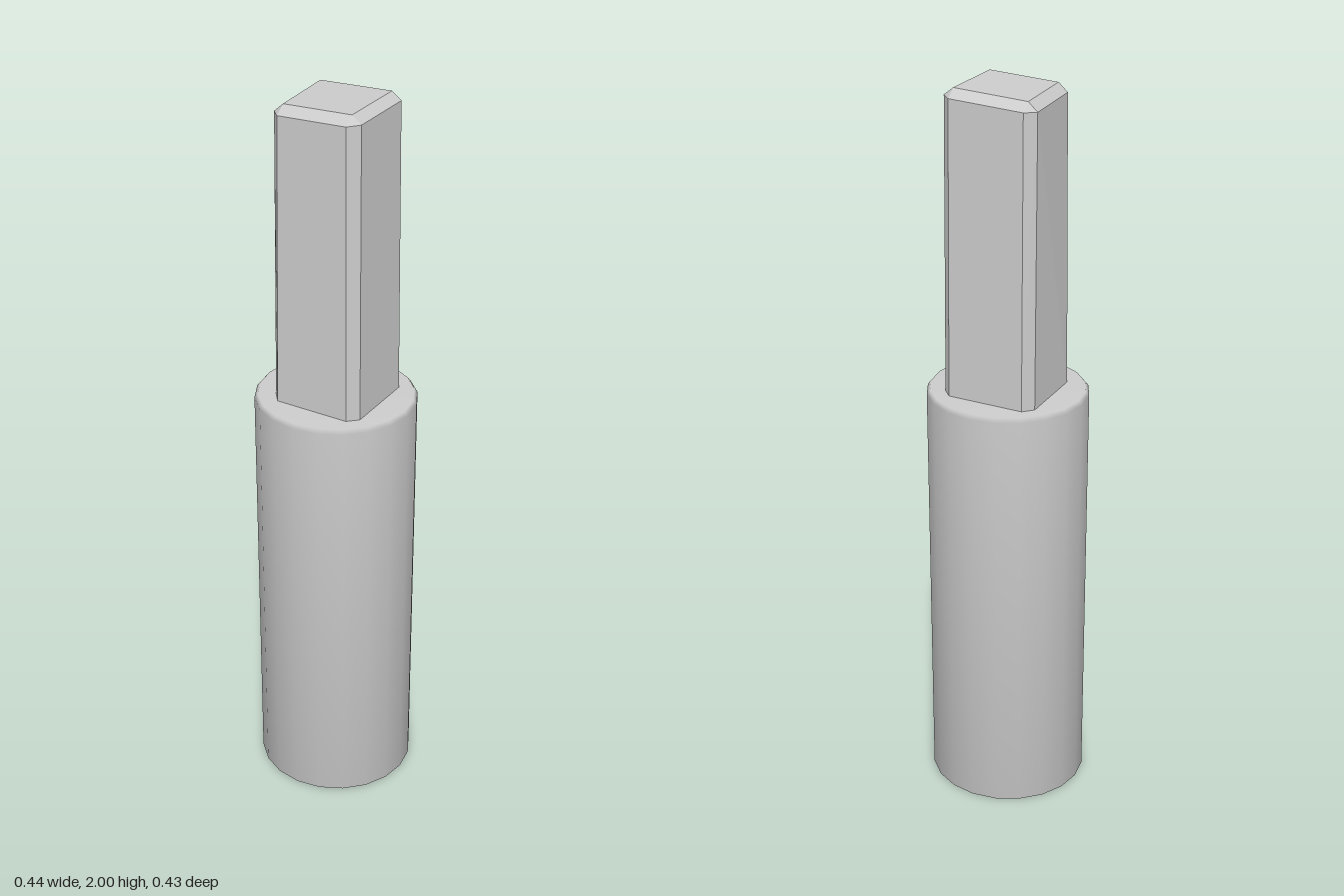
import * as THREE from 'three';
import { ConvexGeometry } from 'three/addons/geometries/ConvexGeometry.js';

export function createModel() {
  const group = new THREE.Group();
  const grey = new THREE.MeshStandardMaterial({ color: 0xcccccc });
  grey.name = 'light grey';

  // Round body: 20 sides, soft normals, narrow bevel at the top rim
  const profile = [[0, 0], [0.218, 0], [0.218, 1.175], [0.209, 1.186], [0, 1.186]]
    .map(([r, y]) => new THREE.Vector2(r, y));
  const body = new THREE.Mesh(new THREE.LatheGeometry(profile, 20), grey);
  body.scale.z = 0.982;
  body.name = 'roundBody';
  group.add(body);

  // Square post: slightly skewed, with bevelled corners and a tilted top
  const foot = [[-0.133, -0.105], [-0.108, -0.131], [0.106, -0.131], [0.131, -0.105],
    [0.133, 0.1], [0.106, 0.126], [-0.103, 0.126], [-0.128, 0.095]];
  const shoulder = [[-0.134, -0.102], [-0.108, -0.127], [0.098, -0.127], [0.124, -0.102],
    [0.128, 0.095], [0.102, 0.123], [-0.092, 0.123], [-0.118, 0.095]];
  const crown = [[-0.108, -0.101], [0.098, -0.101], [0.102, 0.095], [-0.092, 0.095]];
  const ring = (points, y, tilt) => points.map(([x, z]) => new THREE.Vector3(x, y + tilt * x, z));
  const post = new THREE.Mesh(new ConvexGeometry([
    ...ring(foot, 1.18, 0),
    ...ring(shoulder, 1.974, 0.045),
    ...ring(crown, 1.9955, 0.045),
  ]), grey);
  post.name = 'squarePost';
  group.add(post);

  return group;
}
